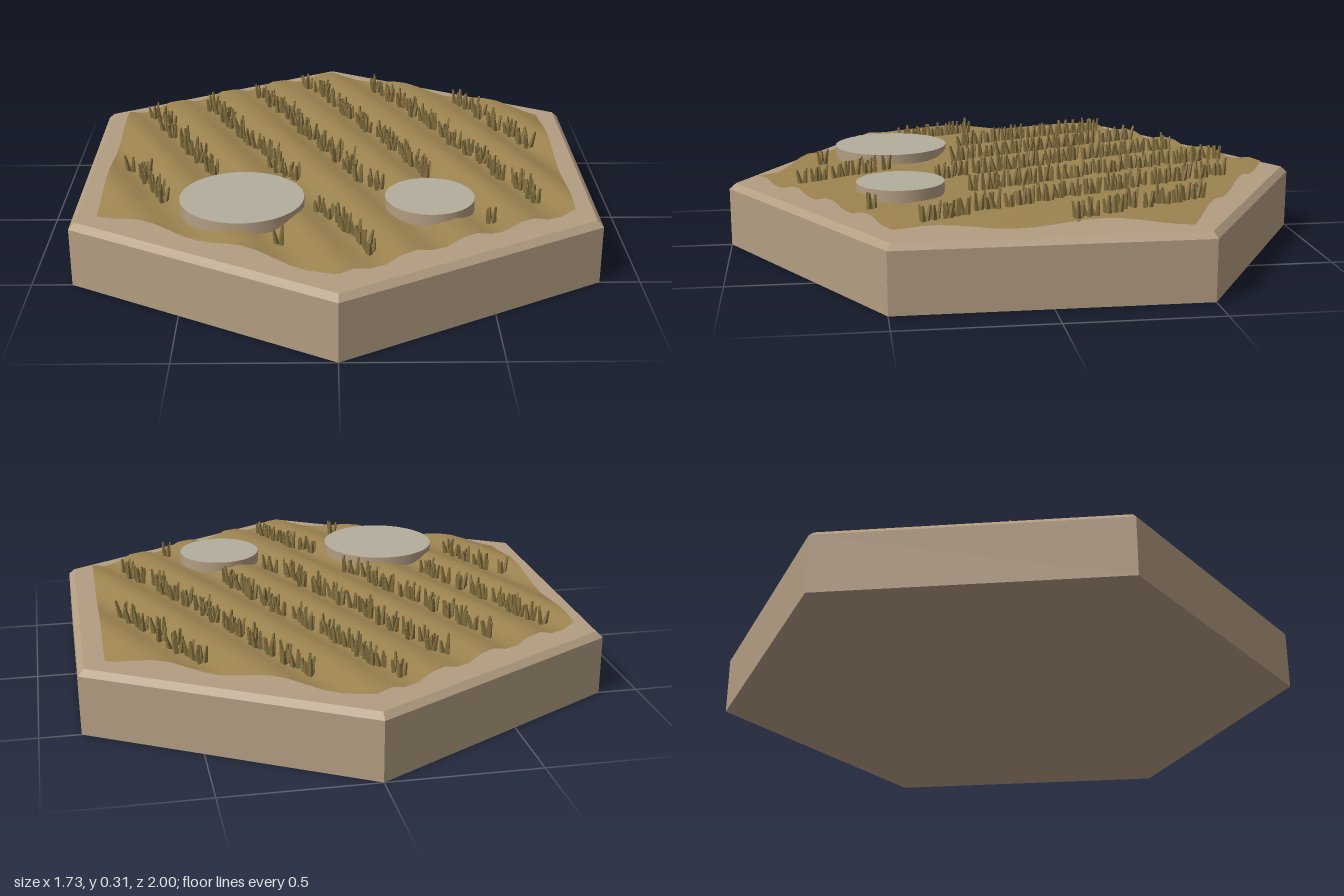
import * as THREE from 'three';
import { mergeGeometries, mergeVertices } from 'three/addons/utils/BufferGeometryUtils.js';

const ROW_SLOPE = 0.45;    // x shift of a row per unit of z
const ROW_SPACING = 0.245; // distance between rows along x
const SOIL_RADIUS = 0.9;

const clay = new THREE.MeshStandardMaterial({ color: 0xb39d82 });
clay.name = 'clay';
const soilBrown = new THREE.MeshStandardMaterial({ color: 0x9c8350 });
soilBrown.name = 'soil brown';
const stoneGrey = new THREE.MeshStandardMaterial({ color: 0xb4ad9d });
stoneGrey.name = 'stone grey';
const stubbleBrown = new THREE.MeshStandardMaterial({ color: 0x84703f });
stubbleBrown.name = 'stubble brown';

// Seeded random numbers, 0 to 1
function seeded(seed) {
  return () => {
    seed = (seed * 16807) % 2147483647;
    return seed / 2147483647;
  };
}

// Height of the ploughed ground: furrows along the rows, falling to the rim
function groundHeight(x, z) {
  const phase = ((x - ROW_SLOPE * z) / ROW_SPACING) * Math.PI * 2;
  const r = Math.hypot(x, z) / SOIL_RADIUS;
  return 0.254 - 0.012 * Math.cos(phase) - 0.018 * r ** 4;
}

function flat(geometry) {
  const g = geometry.toNonIndexed();
  g.computeVertexNormals();
  return g;
}

function mesh(name, geometry, material) {
  const m = new THREE.Mesh(geometry, material);
  m.name = name;
  return m;
}

// Six-sided slab with a bevelled top edge
function makeBase() {
  const profile = [[0, 0], [1, 0], [1, 0.2], [0.977, 0.22], [0, 0.22]]
    .map(([r, y]) => new THREE.Vector2(r, y));
  return mesh('hexBase', flat(new THREE.LatheGeometry(profile, 6)), clay);
}

// Wavy hexagonal sheet, a plane wrapped into rings around the centre
function makeSoil() {
  const g = new THREE.PlaneGeometry(1, 1, 96, 32);
  const pos = g.attributes.position;
  const uv = g.attributes.uv;
  const corner = (k) => [Math.sin(-k * Math.PI / 3), Math.cos(k * Math.PI / 3)];
  for (let i = 0; i < pos.count; i++) {
    const side = uv.getX(i) * 6;
    const k = Math.floor(side);
    const t = side - k;
    const r = uv.getY(i) * SOIL_RADIUS;
    const [ax, az] = corner(k);
    const [bx, bz] = corner(k + 1);
    const x = r * (ax + (bx - ax) * t);
    const z = r * (az + (bz - az) * t);
    pos.setXYZ(i, x, groundHeight(x, z), z);
  }
  g.deleteAttribute('uv');
  g.deleteAttribute('normal');
  const welded = mergeVertices(g, 1e-5);
  welded.computeVertexNormals();
  return mesh('ploughedSoil', welded, soilBrown);
}

// Flat round stone set into the ground
function makeStone(name, x, z, radius) {
  const height = 0.06;
  const g = new THREE.CylinderGeometry(radius, radius, height, 48);
  const stone = mesh(name, g, [clay, stoneGrey, clay]);
  stone.position.set(x, 0.281 - height / 2, z);
  return stone;
}

// A tuft of three short tapered stalks leaning outwards
function tuft(x, z, random) {
  const stalks = [];
  const turn = random() * Math.PI * 2;
  for (let i = 0; i < 3; i++) {
    const h = 0.045 + random() * 0.022;
    const stalk = new THREE.CylinderGeometry(0.004, 0.01, h, 4);
    stalk.translate(0, h / 2, 0);
    stalk.rotateZ(-0.1 - random() * 0.15);
    stalk.translate(0.009, 0, 0);
    stalk.rotateY(turn + i * Math.PI * 2 / 3);
    stalk.translate(x, groundHeight(x, z) - 0.004, z);
    stalks.push(flat(stalk));
  }
  return stalks;
}

// Stubble along the furrows: [row number, first z, last z]
function makeStubble() {
  const group = new THREE.Group();
  group.name = 'stubbleRows';
  const random = seeded(77);
  const runs = [
    [-3, 0.11, 0.37],
    [-2, -0.41, 0.18], [-2, 0.68, 0.68],
    [-1, -0.5, 0.23], [-1, 0.46, 0.76],
    [0, -0.62, 0.3],
    [1, -0.76, 0.2], [1, 0.53, 0.53],
    [2, -0.71, 0.39],
    [3, -0.55, -0.08],
  ];
  for (const [row, from, to] of runs) {
    const parts = [];
    for (let z = from; z <= to + 0.001; z += 0.035) {
      const x = row * ROW_SPACING + ROW_SLOPE * z + (random() - 0.5) * 0.04;
      parts.push(...tuft(x, z + (random() - 0.5) * 0.015, random));
    }
    group.add(mesh('stubbleRow', mergeGeometries(parts), stubbleBrown));
  }
  return group;
}

export function createModel() {
  const model = new THREE.Group();
  model.name = 'fieldTile';
  model.add(
    makeBase(),
    makeSoil(),
    makeStone('largeStone', -0.307, 0.425, 0.203),
    makeStone('smallStone', 0.305, 0.425, 0.146),
    makeStubble(),
  );
  return model;
}
